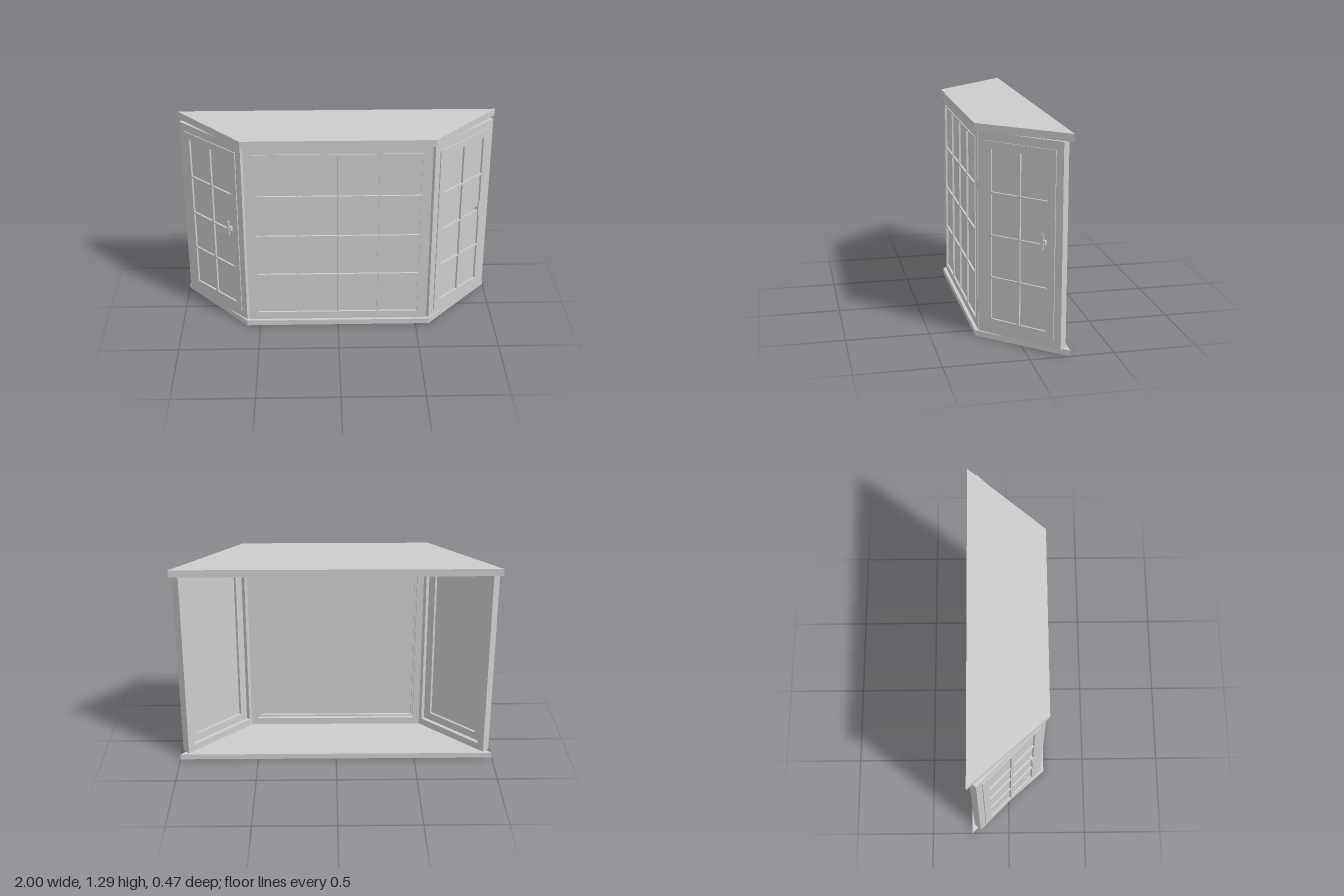
import * as THREE from 'three';

const grey = new THREE.MeshStandardMaterial({ color: 0xcccccc });
grey.name = 'painted grey';

function add(parent, name, geometry, x = 0, y = 0, z = 0) {
  const mesh = new THREE.Mesh(geometry, grey);
  mesh.name = name;
  mesh.position.set(x, y, z);
  parent.add(mesh);
  return mesh;
}

function box(parent, name, w, h, d, x, y, z) {
  return add(parent, name, new THREE.BoxGeometry(w, h, d), x, y, z);
}

// Rectangular ring, centred on x; its front is at zFront
function ring(parent, name, outer, inner, zFront, depth) {
  const rect = (path, [w, y0, y1]) => {
    path.moveTo(-w, y0);
    path.lineTo(w, y0);
    path.lineTo(w, y1);
    path.lineTo(-w, y1);
    path.closePath();
    return path;
  };
  const shape = rect(new THREE.Shape(), outer);
  shape.holes.push(rect(new THREE.Path(), inner));
  const geo = new THREE.ExtrudeGeometry(shape, { depth, bevelEnabled: false });
  return add(parent, name, geo, 0, 0, zFront - depth);
}

// Window unit: fixed frame, raised sash, one pane and glazing bars in front of it
function windowUnit(name, half, sash, pane, cols, rows, bar) {
  const unit = new THREE.Group();
  unit.name = name;
  ring(unit, 'frame', [half, 0.035, 1.25], sash, 0, 0.057);
  ring(unit, 'sash', sash, pane, 0.006, 0.036);
  const [w, y0, y1] = pane;
  const h = y1 - y0, yc = (y0 + y1) / 2;
  box(unit, 'pane', 2 * w, h, 0.006, 0, yc, -0.009);
  for (let i = 1; i < cols; i++)
    box(unit, 'uprightBar', bar, h, 0.012, 0, yc, 0);
  unit.children.filter(m => m.name === 'uprightBar')
    .forEach((m, i) => { m.position.x = -w + (2 * w * (i + 1)) / cols; });
  for (let j = 1; j < rows; j++)
    box(unit, 'crossBar', 2 * w, 0.011, 0.0118, 0, y0 + (h * j) / rows, 0);
  return unit;
}

// Trapezoid board for sill and roof
function board(parent, name, y, height) {
  const shape = new THREE.Shape([[-0.585, -0.235], [0.585, -0.235], [1, 0.24], [-1, 0.24]]
    .map(([x, v]) => new THREE.Vector2(x, v)));
  const geo = new THREE.ExtrudeGeometry(shape, { depth: height, bevelEnabled: false });
  geo.rotateX(-Math.PI / 2);
  add(parent, name, geo, 0, y, 0);
}

export function createModel() {
  const model = new THREE.Group();
  model.name = 'bayWindow';

  board(model, 'sill', 0, 0.035);
  board(model, 'roof', 1.25, 0.045);

  // Wide front window
  const front = windowUnit('frontWindow', 0.57, [0.52, 0.08, 1.2], [0.508, 0.09, 1.19], 4, 4, 0.01);
  front.position.z = 0.215;
  model.add(front);

  // Angled side windows with handles on the same hand
  for (const [name, s] of [['leftWindow', 1], ['rightWindow', -1]]) {
    const side = windowUnit(name, 0.283, [0.237, 0.08, 1.2], [0.188, 0.13, 1.155], 2, 4, 0.014);
    box(side, 'handleMount', 0.018, 0.02, 0.024, 0.17, 0.665, 0.004);
    box(side, 'handleGrip', 0.014, 0.095, 0.008, 0.162, 0.667, 0.018);
    side.position.set(s * 0.785, 0, 0.015);
    side.rotation.y = s * Math.PI / 4;
    model.add(side);
  }
  return model;
}
